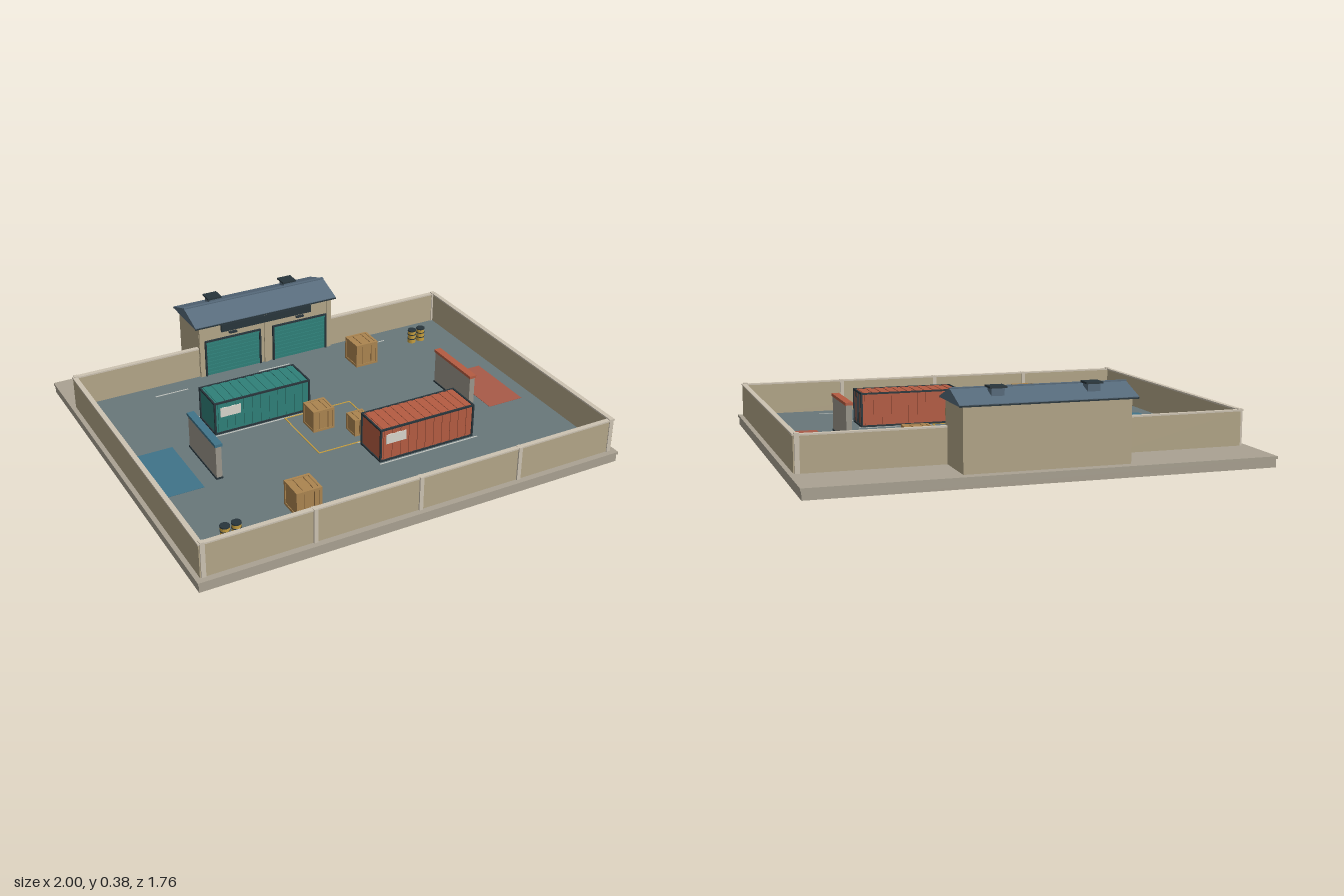
import * as THREE from 'three';

const COLORS = {
  slab: 0xaaa292, wall: 0xb3a688, cap: 0xcdc3b2, floor: 0x68777a, roof: 0x566a7b, dark: 0x28353b,
  teal: 0x2f8079, red: 0xb55c42, blue: 0x3f7389, pad: 0xa85a48, wood: 0xab8550, woodDark: 0x7c5c35,
  yellow: 0xc79f3f, line: 0xc3c6c0, concrete: 0x9b978c, label: 0xd8d6cc,
};
const mats = {};
for (const k in COLORS) mats[k] = new THREE.MeshStandardMaterial({ color: COLORS[k], flatShading: true });

function add(parent, name, geo, mat) {
  const m = new THREE.Mesh(geo, mats[mat]);
  m.name = name;
  parent.add(m);
  return m;
}
// Box given by its minimum and maximum on each axis
function span(parent, name, mat, x0, x1, y0, y1, z0, z1) {
  const m = add(parent, name, new THREE.BoxGeometry(x1 - x0, y1 - y0, z1 - z0), mat);
  m.position.set((x0 + x1) / 2, (y0 + y1) / 2, (z0 + z1) / 2);
  return m;
}
function group(parent, name, x = 0, y = 0, z = 0) {
  const g = new THREE.Group();
  g.name = name;
  g.position.set(x, y, z);
  parent.add(g);
  return g;
}

const FLOOR = 0.053;

function buildYard(root) {
  const g = group(root, 'yard');
  span(g, 'baseSlab', 'slab', -0.995, 0.995, 0, 0.04, -0.875, 0.875);
  span(g, 'baseLip', 'slab', -1, 1, 0.036, 0.048, -0.88, 0.88);
  span(g, 'yardFloor', 'floor', -0.967, 0.967, 0.045, FLOOR, -0.605, 0.84);

  // Perimeter walls with a pale coping
  const wall = (name, x0, x1, z0, z1) => {
    span(g, name, 'wall', x0, x1, 0.045, 0.2, z0, z1);
    span(g, name + 'Coping', 'cap', x0 - 0.003, x1 + 0.003, 0.199, 0.206, z0 - 0.003, z1 + 0.003);
  };
  wall('frontWall', -0.965, 0.965, 0.835, 0.851);
  for (const s of [-1, 1]) {
    wall('sideWall', s * 0.971 - 0.008, s * 0.971 + 0.008, -0.61, 0.85);
    wall('backWall', s < 0 ? -0.965 : 0.355, s < 0 ? -0.355 : 0.965, -0.619, -0.603);
    for (const z of [-0.609, 0.845])
      span(g, 'cornerPost', 'cap', s * 0.964 - 0.01, s * 0.964 + 0.01, 0.045, 0.21, z - 0.01, z + 0.01);
  }
  for (const x of [-0.484, 0, 0.484]) span(g, 'wallPost', 'cap', x - 0.009, x + 0.009, 0.045, 0.207, 0.831, 0.858);
}

function buildMarkings(root) {
  const g = group(root, 'floorMarkings');
  const mark = (name, mat, x0, x1, z0, z1, top = FLOOR + 0.0015) => span(g, name, mat, x0, x1, FLOOR - 0.001, top, z0, z1);
  mark('bluePad', 'blue', -0.9, -0.72, -0.063, 0.295);
  mark('redPad', 'pad', 0.717, 0.897, -0.063, 0.295);
  // Lane dashes at both ends of the yard
  for (const z of [-0.515, 0.745])
    for (const x of [-0.538, 0, 0.538]) mark('laneDash', 'line', x - 0.083, x + 0.083, z - 0.003, z + 0.003);
  // Lines beside the containers
  for (const z of [-0.25, -0.056]) mark('bayLine', 'line', -0.52, -0.02, z - 0.003, z + 0.003);
  for (const z of [0.286, 0.486]) mark('bayLine', 'line', 0.02, 0.52, z - 0.003, z + 0.003);
  // Central square
  for (const z of [-0.053, 0.283]) mark('squareLine', 'yellow', -0.173, 0.168, z - 0.003, z + 0.003, FLOOR + 0.002);
  for (const x of [-0.17, 0.165]) mark('squareLine', 'yellow', x - 0.003, x + 0.003, -0.053, 0.283, FLOOR + 0.002);
}

function buildDepot(root) {
  const g = group(root, 'depotBuilding');
  span(g, 'depotWalls', 'wall', -0.355, 0.355, 0.045, 0.322, -0.835, -0.597);

  // Solid gable roof
  const s = new THREE.Shape([[0.855, 0.318], [0.58, 0.318], [0.58, 0.325], [0.718, 0.373], [0.855, 0.325]]
    .map(([z, y]) => new THREE.Vector2(z, y)));
  const geo = new THREE.ExtrudeGeometry(s, { depth: 0.752, bevelEnabled: false });
  geo.rotateY(Math.PI / 2).translate(-0.376, 0, 0);
  geo.rotateY(Math.PI);
  // the profile runs along -z after the half turn, so mirror it to the back if needed
  geo.computeBoundingBox();
  if (geo.boundingBox.max.z > 0) geo.rotateY(Math.PI);
  add(g, 'gableRoof', geo, 'roof');
  span(g, 'ridgeCap', 'roof', -0.377, 0.377, 0.367, 0.375, -0.726, -0.71);
  for (const z of [-0.581, -0.854]) span(g, 'gutter', 'dark', -0.376, 0.376, 0.316, 0.322, z - 0.003, z + 0.003);

  // Roof vents
  for (const x of [-0.205, 0.2]) {
    span(g, 'ventBody', 'roof', x - 0.027, x + 0.027, 0.33, 0.378, -0.797, -0.743);
    span(g, 'ventLid', 'dark', x - 0.036, x + 0.036, 0.376, 0.384, -0.804, -0.737);
  }

  // Sign board, left blank
  span(g, 'signBoard', 'dark', -0.24, 0.24, 0.272, 0.309, -0.6, -0.586);

  // Two roller doors with slats and frames
  for (const side of [-1, 1]) {
    const x = side * 0.18;
    span(g, 'doorPanel', 'teal', x - 0.14, x + 0.14, FLOOR, 0.225, -0.6, -0.594);
    for (let i = 0; i < 9; i++) {
      const y = FLOOR + 0.004 + i * 0.019;
      span(g, 'doorSlat', 'teal', x - 0.138, x + 0.138, y, y + 0.013, -0.597, -0.59);
    }
    span(g, 'doorHeader', 'teal', x - 0.142, x + 0.142, 0.225, 0.234, -0.6, -0.588);
    span(g, 'doorLintel', 'dark', x - 0.147, x + 0.147, 0.234, 0.24, -0.6, -0.586);
    for (const e of [-1, 1]) {
      const px = x + e * 0.144;
      span(g, 'doorJamb', 'dark', px - 0.004, px + 0.004, FLOOR, 0.24, -0.6, -0.587);
    }
    span(g, 'doorLamp', 'dark', x - 0.02, x + 0.02, 0.257, 0.264, -0.6, -0.582);
  }
  for (const x of [-0.342, 0, 0.342]) span(g, 'pilaster', 'wall', x - 0.012, x + 0.012, 0.045, 0.318, -0.6, -0.59);
}

function buildContainer(root, name, mat, x, z) {
  const g = group(root, name, x, FLOOR, z);
  const L = 0.238, W = 0.086, H = 0.16, t = 0.005;
  span(g, 'containerBody', mat, -L + t, L - t, 0.004, H - 0.003, -W + t, W - t);
  // Corrugation on the sides and roof
  for (let i = 0; i < 11; i++) {
    const rx = (i - 5) * 0.042;
    for (const s of [-1, 1])
      span(g, 'sideRib', mat, rx - 0.01, rx + 0.01, 0.01, H - 0.008, s * (W - 0.004) - 0.003, s * (W - 0.004) + 0.003);
    span(g, 'roofRib', mat, rx - 0.012, rx + 0.012, H - 0.005, H, -W + 0.008, W - 0.008);
  }
  // Dark edge frame
  for (const s of [-1, 1]) {
    for (const y of [0, H - 0.007]) {
      span(g, 'longRail', 'dark', -L, L, y, y + 0.008, s * (W - 0.003) - 0.004, s * (W - 0.003) + 0.004);
      span(g, 'endRail', 'dark', s * (L - 0.003) - 0.004, s * (L - 0.003) + 0.004, y, y + 0.008, -W, W);
    }
    for (const e of [-1, 1])
      span(g, 'cornerCasting', 'dark', s * (L - 0.003) - 0.004, s * (L - 0.003) + 0.004, 0, H,
        e * (W - 0.003) - 0.004, e * (W - 0.003) + 0.004);
  }
  // Door locking bars and a blank side plate
  for (const bz of [-0.045, -0.012, 0.012, 0.045])
    span(g, 'lockBar', 'dark', L - 0.006, L - 0.001, 0.01, H - 0.01, bz - 0.002, bz + 0.002);
  span(g, 'sidePlate', 'label', -0.21, -0.11, 0.085, 0.13, W - 0.004, W + 0.002);
}

function buildCrate(root, x, z, size) {
  const g = group(root, 'crate', x, FLOOR + size / 2, z);
  const h = size / 2, b = size * 0.1;
  add(g, 'crateBody', new THREE.BoxGeometry(size * 0.95, size * 0.95, size * 0.95), 'wood');
  // Battens along all twelve edges
  for (const p of [-1, 1]) for (const q of [-1, 1]) {
    const o = h - b / 2;
    const batten = (sx, sy, sz, px, py, pz) =>
      add(g, 'crateBatten', new THREE.BoxGeometry(sx, sy, sz), 'wood').position.set(px, py, pz);
    batten(size, b, b, 0, p * o, q * o);
    batten(b, size, b, p * o, 0, q * o);
    batten(b, b, size, p * o, q * o, 0);
  }
  // Plank seams on the lid and front and back
  for (const s of [-0.2, 0.2]) {
    add(g, 'plankSeam', new THREE.BoxGeometry(0.003, size * 0.97, size * 0.97), 'woodDark').position.x = s * size;
  }
}

function buildBarrel(root, x, z) {
  const g = group(root, 'barrel', x, FLOOR, z);
  const part = (name, r, h, y, mat) => {
    add(g, name, new THREE.CylinderGeometry(r, r, h, 16), mat).position.y = y;
  };
  part('barrelBody', 0.02, 0.066, 0.033, 'yellow');
  for (const y of [0.022, 0.045]) part('barrelHoop', 0.0215, 0.004, y, 'dark');
  part('barrelLid', 0.0215, 0.006, 0.066, 'dark');
}

export function createModel() {
  const root = new THREE.Group();
  root.name = 'depotYard';
  buildYard(root);
  buildMarkings(root);
  buildDepot(root);
  buildContainer(root, 'tealContainer', 'teal', -0.272, -0.153);
  buildContainer(root, 'redContainer', 'red', 0.266, 0.387);

  // Free-standing cover walls with coloured caps
  for (const [x, mat] of [[-0.637, 'blue'], [0.632, 'red']]) {
    const g = group(root, 'coverWall');
    span(g, 'coverBody', 'concrete', x - 0.013, x + 0.013, FLOOR, 0.215, -0.03, 0.265);
    span(g, 'coverCap', mat, x - 0.017, x + 0.017, 0.213, 0.226, -0.035, 0.27);
    span(g, 'coverFoot', 'dark', x - 0.016, x + 0.016, FLOOR, FLOOR + 0.008, -0.033, 0.268);
  }

  for (const [x, z, s] of [[0.416, -0.386, 0.117], [-0.06, 0.068, 0.105], [0.076, 0.194, 0.082], [-0.421, 0.62, 0.117]])
    buildCrate(root, x, z, s);
  for (const [x, z] of [[-0.795, 0.675], [-0.745, 0.675], [0.74, -0.44], [0.79, -0.44]]) buildBarrel(root, x, z);
  return root;
}
